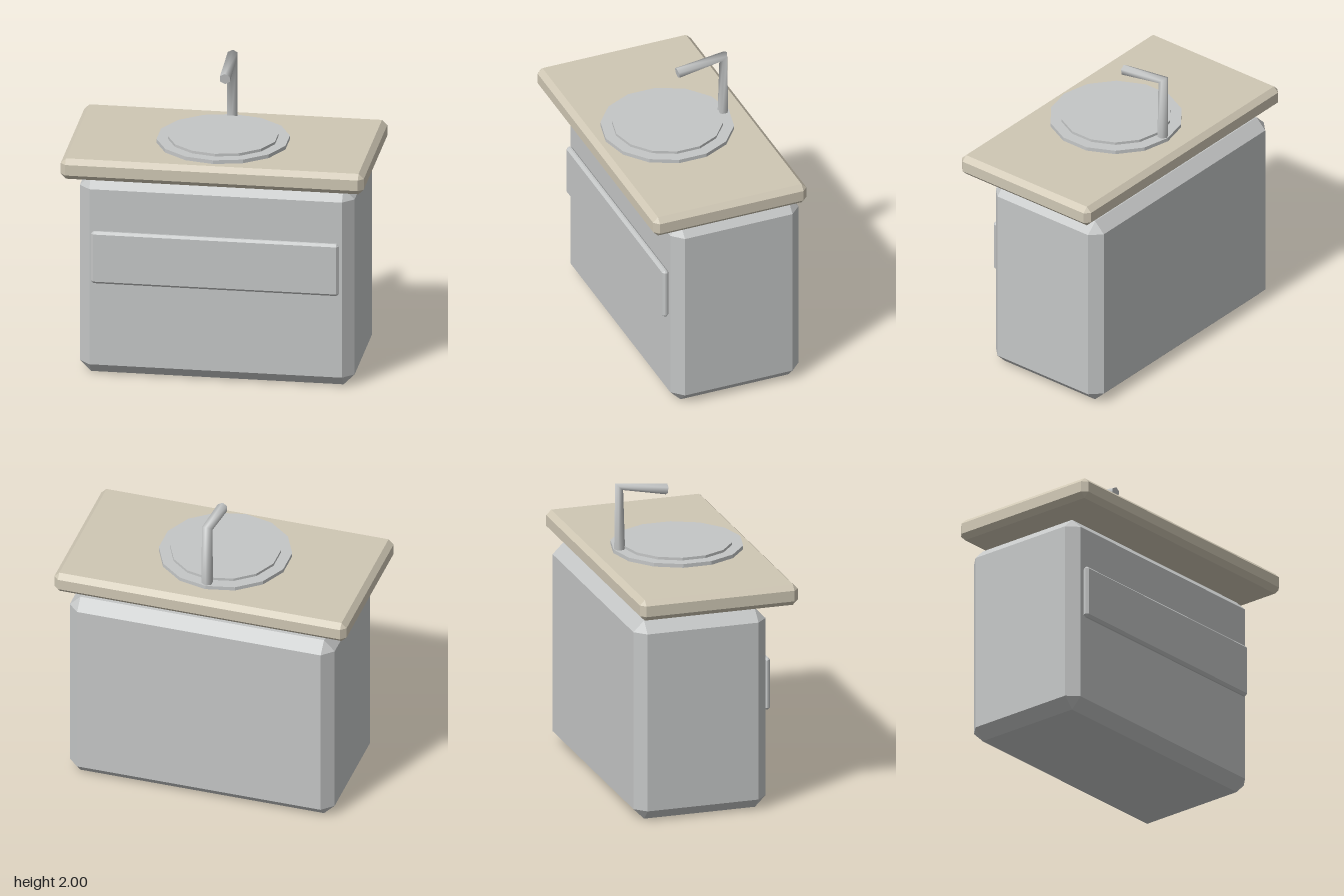
import * as THREE from 'three';
import { ConvexGeometry } from 'three/addons/geometries/ConvexGeometry.js';

const mat = (name, color) => {
  const m = new THREE.MeshStandardMaterial({ color });
  m.name = name;
  return m;
};

// Box with every edge cut by a flat bevel and a triangle at each corner
function bevelledBox(min, max, bevel) {
  const points = [];
  for (const i of [0, 1]) for (const j of [0, 1]) for (const k of [0, 1]) {
    const sides = [i, j, k];
    const corner = sides.map((s, a) => (s ? max[a] : min[a]));
    const inner = sides.map((s, a) => (s ? max[a] - bevel : min[a] + bevel));
    for (let a = 0; a < 3; a++) {
      const p = [...inner];
      p[a] = corner[a];
      points.push(new THREE.Vector3(...p));
    }
  }
  return new ConvexGeometry(points);
}

// Tube through [y, z, ring tilt] stations in the x = 0 plane
function bentTube(stations, radius, sides) {
  const pos = [], index = [];
  const ring = ([y, z, tilt]) => {
    for (let i = 0; i < sides; i++) {
      const a = (i / sides) * Math.PI * 2;
      const d = radius * Math.cos(a);
      pos.push(radius * Math.sin(a), y + d * Math.sin(tilt), z - d * Math.cos(tilt));
    }
  };
  stations.forEach(ring);
  for (let s = 0; s < stations.length - 1; s++) {
    for (let i = 0; i < sides; i++) {
      const a = s * sides + i, b = s * sides + (i + 1) % sides;
      index.push(a, a + sides, b, b, a + sides, b + sides);
    }
  }
  // End caps on their own vertices so their edges stay sharp
  const cap = (station, flip) => {
    const first = pos.length / 3;
    ring(station);
    for (let i = 1; i < sides - 1; i++) {
      if (flip) index.push(first, first + i + 1, first + i);
      else index.push(first, first + i, first + i + 1);
    }
  };
  cap(stations[0], false);
  cap(stations[stations.length - 1], true);
  const g = new THREE.BufferGeometry();
  g.setAttribute('position', new THREE.Float32BufferAttribute(pos, 3));
  g.setIndex(index);
  g.computeVertexNormals();
  return g;
}

export function createModel() {
  const group = new THREE.Group();
  group.name = 'bathroomVanity';
  const grey = mat('cabinetGrey', 0xc4c6c6);
  const beige = mat('counterBeige', 0xcfc7b4);
  const discGrey = grey.clone();
  discGrey.flatShading = true;

  const add = (name, geometry, material) => {
    const mesh = new THREE.Mesh(geometry, material);
    mesh.name = name;
    group.add(mesh);
    return mesh;
  };

  // Cabinet, drawer front and countertop
  add('cabinet', bevelledBox([-0.893, 0, -0.535], [0.893, 1.345, 0.36], 0.072), grey);
  add('drawerFront', bevelledBox([-0.805, 0.64, 0.358], [0.805, 0.995, 0.402], 0.016), grey);
  add('countertop', bevelledBox([-0.985, 1.39, -0.535], [0.985, 1.53, 0.535], 0.034), beige);

  // Stepped round basin with fourteen sides
  const disc = (name, radius, bottom, top) => {
    const mesh = add(name, new THREE.CylinderGeometry(radius, radius, top - bottom, 14), discGrey);
    mesh.position.set(0, (bottom + top) / 2, 0.033);
  };
  disc('basinRim', 0.43, 1.52, 1.555);
  disc('basinCentre', 0.357, 1.55, 1.573);

  // Six-sided tap with a mitred bend
  const tap = bentTube([
    [1.55, -0.355, 0],
    [1.976, -0.358, 0.75],
    [1.928, -0.037, Math.PI / 2 + 0.15],
  ], 0.037, 6);
  add('tap', tap, grey);
  return group;
}
